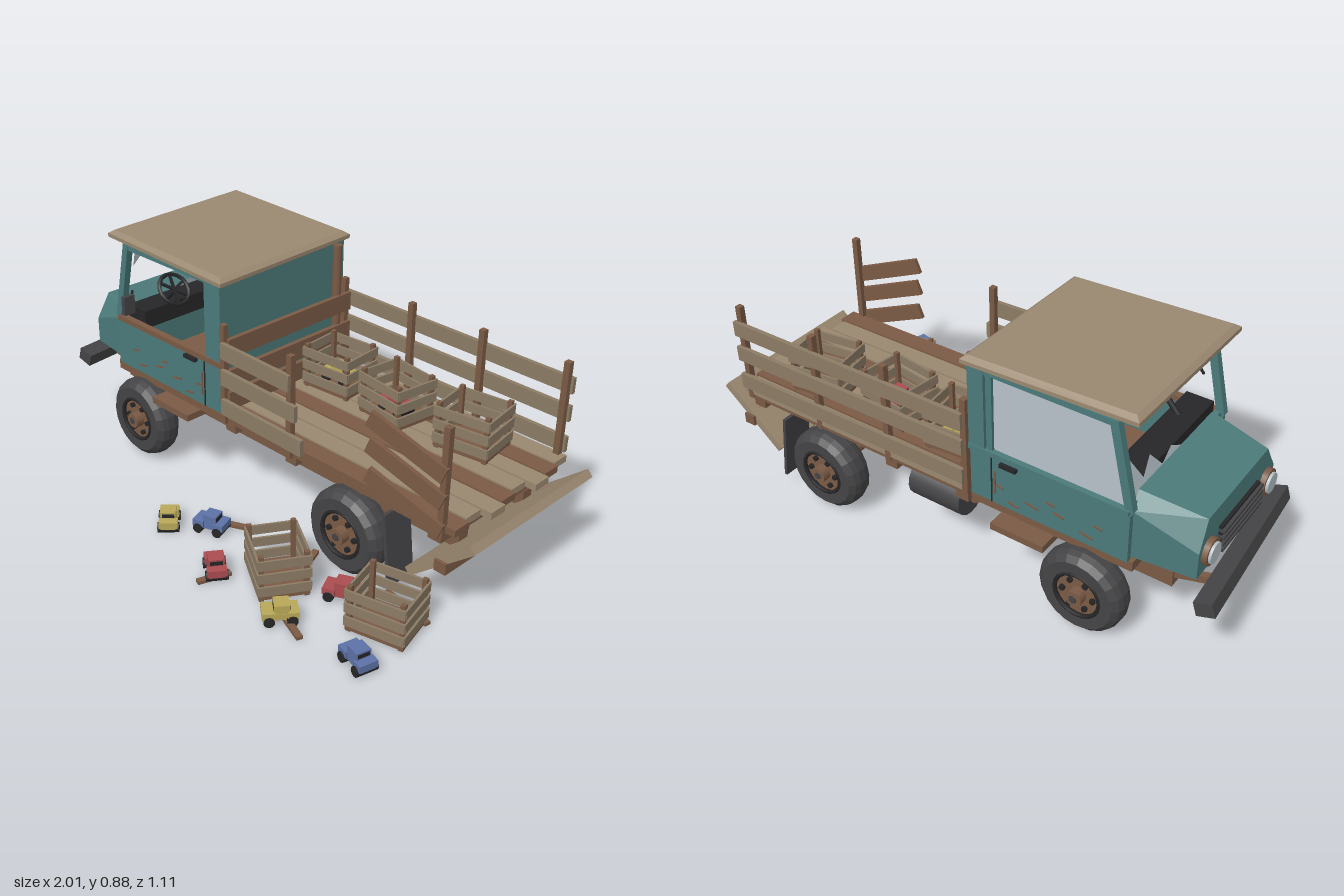
import * as THREE from 'three';
import { ConvexGeometry } from 'three/addons/geometries/ConvexGeometry.js';

const mat = (name, color, side = THREE.FrontSide) => {
  const m = new THREE.MeshStandardMaterial({ color, side });
  m.name = name;
  return m;
};
const V = (x, y, z) => new THREE.Vector3(x, y, z);
const MID = -0.18; // centre line of the truck in z

export function createModel() {
  const teal = mat('tealPaint', 0x4c7a7a), tan = mat('tanWood', 0x9a8870), slat = mat('weatheredWood', 0x8b7b65);
  const rust = mat('rustBrown', 0x7a5a45), dark = mat('darkRubber', 0x444446, THREE.DoubleSide);
  const black = mat('black', 0x262628), glass = mat('glass', 0xb6c2c8, THREE.DoubleSide);
  const yellow = mat('toyYellow', 0xb8a858), blue = mat('toyBlue', 0x5c72a6), red = mat('toyRed', 0xaa4c50);

  const root = new THREE.Group();
  root.name = 'truck';
  const group = (name, x = 0, y = 0, z = 0, ry = 0, parent = root) => {
    const g = new THREE.Group();
    g.name = name;
    g.position.set(x, y, z);
    g.rotation.y = ry;
    parent.add(g);
    return g;
  };
  const add = (name, geo, m, p, pos = [0, 0, 0], rot = [0, 0, 0]) => {
    const mesh = new THREE.Mesh(geo, m);
    mesh.name = name;
    mesh.position.set(...pos);
    mesh.rotation.set(...rot);
    p.add(mesh);
    return mesh;
  };
  const box = (name, m, p, size, pos, rot) => add(name, new THREE.BoxGeometry(...size), m, p, pos, rot);
  // box given by its minimum and maximum corners
  const span = (name, m, p, x0, x1, y0, y1, z0, z1) =>
    box(name, m, p, [x1 - x0, y1 - y0, z1 - z0], [(x0 + x1) / 2, (y0 + y1) / 2, (z0 + z1) / 2]);
  // round bar between two points
  const rod = (name, m, p, a, b, r, n = 10) => {
    const mesh = add(name, new THREE.CylinderGeometry(r, r, a.distanceTo(b), n), m, p, a.clone().add(b).multiplyScalar(0.5).toArray());
    mesh.quaternion.setFromUnitVectors(V(0, 1, 0), b.clone().sub(a).normalize());
    return mesh;
  };

  // Chassis: rails, cross members, axles, tank, steps
  const chassis = group('chassis');
  for (const s of [-1, 1]) {
    box('rail', rust, chassis, [1.66, 0.06, 0.045], [0.025, 0.23, MID + s * 0.17]);
    box('step', rust, chassis, [0.2, 0.025, 0.1], [-0.34, 0.29, MID + s * 0.315]);
    box('mudFlap', dark, chassis, [0.012, 0.26, 0.12], [0.69, 0.18, MID + s * 0.285], [0, 0, 0.12]);
    box('tailLight', red, chassis, [0.03, 0.012, 0.058], [0.89, 0.238, MID + s * 0.25]);
  }
  for (const x of [-0.75, -0.25, 0.1, 0.3, 0.75]) box('crossMember', dark, chassis, [0.045, 0.045, 0.34], [x, 0.23, MID]);
  rod('fuelTank', dark, chassis, V(-0.07, 0.245, -0.42), V(0.14, 0.245, -0.42), 0.07, 16);
  box('rearBeam', rust, chassis, [0.045, 0.04, 0.645], [0.885, 0.212, MID]);
  box('bumper', dark, chassis, [0.062, 0.05, 0.64], [-0.946, 0.288, -0.175], [0.02, 0.075, -0.3]);
  for (const s of [-1, 1]) box('bumperBracket', rust, chassis, [0.13, 0.025, 0.025], [-0.86, 0.26, MID + s * 0.17], [0, 0, -0.3]);

  // Wheels with hubs and bolts
  const tyreGeo = new THREE.LatheGeometry(
    [[0.08, -0.05], [0.128, -0.052], [0.147, -0.035], [0.154, -0.015], [0.154, 0.015], [0.147, 0.035], [0.128, 0.052], [0.08, 0.05]]
      .map(p => new THREE.Vector2(...p)), 20).toNonIndexed();
  tyreGeo.computeVertexNormals();
  tyreGeo.rotateX(Math.PI / 2);
  for (const x of [-0.56, 0.505]) {
    rod('axle', rust, chassis, V(x, 0.16, -0.46), V(x, 0.16, 0.1), 0.027);
    add('differential', new THREE.SphereGeometry(0.055, 10, 8), rust, chassis, [x, 0.16, MID]);
    for (const s of [-1, 1]) {
      const w = group('wheel', x, 0.156, MID + s * 0.305, s < 0 ? Math.PI : 0);
      add('tyre', tyreGeo, dark, w);
      rod('rim', rust, w, V(0, 0, -0.035), V(0, 0, 0.038), 0.084, 20);
      add('rimRing', new THREE.TorusGeometry(0.082, 0.008, 6, 20), black, w, [0, 0, 0.047]);
      rod('hubCap', rust, w, V(0, 0, 0.03), V(0, 0, 0.07), 0.03, 10);
      rod('hubNut', dark, w, V(0, 0, 0.06), V(0, 0, 0.074), 0.014, 6);
      for (let i = 0; i < 6; i++) {
        const a = (i * Math.PI) / 3, c = Math.cos(a) * 0.056, d = Math.sin(a) * 0.056;
        rod('bolt', black, w, V(c, d, 0.03), V(c, d, 0.05), 0.01, 6);
      }
    }
  }

  // Cab shell
  const cab = group('cab');
  span('cabFloor', rust, cab, -0.72, -0.12, 0.3, 0.337, -0.48, 0.12);
  span('backWall', teal, cab, -0.14, -0.12, 0.335, 0.83, -0.48, 0.12);
  span('firewall', teal, cab, -0.7, -0.68, 0.335, 0.54, -0.47, 0.11);
  for (const s of [-1, 1]) {
    const at = (d) => MID + s * d;
    box('door', teal, cab, [0.5, 0.18, 0.02], [-0.455, 0.425, at(0.297)]);
    box('rearQuarter', teal, cab, [0.08, 0.18, 0.022], [-0.165, 0.425, at(0.295)]);
    box('doorSeam', black, cab, [0.005, 0.18, 0.003], [-0.207, 0.425, at(0.307)]);
    box('windowSill', s > 0 ? rust : teal, cab, [0.58, 0.02, 0.026], [-0.41, 0.524, at(0.297)]);
    box('rearPillar', teal, cab, [0.06, 0.31, 0.024], [-0.15, 0.68, at(0.294)]);
    box('windowFrame', teal, cab, [0.022, 0.3, 0.018], [-0.196, 0.68, at(0.292)]);
    box('frontPillar', teal, cab, [0.028, 0.31, 0.026], [-0.667, 0.678, at(0.292)], [0, 0, -0.215]);
    box('topFrame', teal, cab, [0.5, 0.022, 0.022], [-0.39, 0.822, at(0.292)]);
    box('doorHandle', black, cab, [0.062, 0.013, 0.016], [-0.275, 0.505, at(0.313)]);
    // rust streaks on the door
    [[-0.56, 0.37, 0.05], [-0.46, 0.4, 0.04], [-0.43, 0.43, 0.03], [-0.36, 0.39, 0.05], [-0.29, 0.36, 0.04], [-0.6, 0.42, 0.03], [-0.24, 0.41, 0.03]]
      .forEach(([x, y, w]) => box('rustStreak', rust, cab, [w, 0.007, 0.004], [x, y, at(0.308)], [0, 0, 0.2]));
    box('rustSeam', rust, cab, [0.006, 0.09, 0.004], [-0.22, 0.42, at(0.308)]);
  }
  box('headerBar', teal, cab, [0.025, 0.025, 0.58], [-0.635, 0.822, MID]);
  const pane = new THREE.Shape([[-0.685, 0.53], [-0.2, 0.53], [-0.2, 0.82], [-0.62, 0.82]].map(p => new THREE.Vector2(...p)));
  add('sideWindow', new THREE.ShapeGeometry(pane), glass, cab, [0, 0, -0.47]);

  // Remains of the windscreen: jagged shards along the lower edge and corners
  const shards = [[[-0.26, 0], [-0.26, 0.15], [-0.2, 0.05], [-0.15, 0.1], [-0.09, 0.03], [-0.03, 0.06], [0.04, 0.02], [0.04, 0]],
    [[0.26, 0.29], [0.26, 0.2], [0.22, 0.25], [0.17, 0.29]]];
  for (const pts of shards) {
    const s = new THREE.Shape(pts.map(p => new THREE.Vector2(...p)));
    const g = new THREE.ShapeGeometry(s).rotateY(-Math.PI / 2);
    add('windscreenShard', g, glass, cab, [-0.695, 0.535, MID], [0, 0, -0.215]);
  }

  // Roof slab with chamfered rim, slightly askew
  const roofShape = new THREE.Shape([[-0.29, -0.3], [0.29, -0.3], [0.29, 0.3], [-0.29, 0.3]].map(p => new THREE.Vector2(...p)));
  const roofGeo = new THREE.ExtrudeGeometry(roofShape, { depth: 0.014, bevelThickness: 0.013, bevelSize: 0.018, bevelSegments: 1 });
  roofGeo.translate(0, 0, -0.007).rotateX(-Math.PI / 2);
  add('roof', roofGeo, tan, cab, [-0.415, 0.846, -0.185], [0.025, 0, -0.032]);

  // Hood, grille and headlights
  const hoodPts = [];
  for (const s of [-1, 1]) {
    for (const [x, y, w] of [[-0.695, 0.337, 0.28], [-0.695, 0.515, 0.28], [-0.69, 0.565, 0.235],
      [-0.91, 0.337, 0.255], [-0.91, 0.435, 0.255], [-0.905, 0.53, 0.2]]) hoodPts.push(V(x, y, MID + s * w));
  }
  add('hood', new ConvexGeometry(hoodPts), teal, cab);
  box('grille', black, cab, [0.014, 0.1, 0.26], [-0.914, 0.405, MID]);
  for (let i = 0; i < 4; i++) box('grilleBar', dark, cab, [0.02, 0.009, 0.27], [-0.922, 0.37 + i * 0.024, MID]);
  for (const s of [-1, 1]) {
    rod('headlightRim', rust, cab, V(-0.9, 0.41, MID + s * 0.195), V(-0.928, 0.41, MID + s * 0.195), 0.046, 14);
    rod('headlightLens', glass, cab, V(-0.92, 0.41, MID + s * 0.195), V(-0.937, 0.41, MID + s * 0.195), 0.036, 14);
  }

  // Cab interior and mirror
  box('dashboard', black, cab, [0.1, 0.07, 0.55], [-0.625, 0.54, MID]);
  box('seatBase', rust, cab, [0.2, 0.07, 0.52], [-0.3, 0.465, MID]);
  box('seatBack', rust, cab, [0.04, 0.19, 0.5], [-0.24, 0.61, MID], [0, 0, -0.1]);
  rod('steeringColumn', black, cab, V(-0.63, 0.55, -0.03), V(-0.555, 0.635, -0.03), 0.01, 8);
  const wheel = group('steeringWheel', -0.555, 0.635, -0.03, 0, cab);
  wheel.quaternion.setFromUnitVectors(V(0, 0, 1), V(0.75, 0.66, 0).normalize());
  add('wheelRim', new THREE.TorusGeometry(0.062, 0.008, 6, 16), black, wheel);
  for (const a of [0, 1.05, 2.1]) box('wheelSpoke', black, wheel, [0.12, 0.01, 0.008], [0, 0, 0], [0, 0, a]);
  rod('mirrorArm', black, cab, V(-0.62, 0.65, 0.115), V(-0.535, 0.66, 0.19), 0.005, 6);
  box('mirror', dark, cab, [0.018, 0.07, 0.046], [-0.53, 0.65, 0.203]);
  rod('exhaustStack', rust, cab, V(-0.1, 0.25, -0.432), V(-0.1, 0.83, -0.432), 0.017, 10);

  // Cargo bed: plank floor, headboard, stake sides
  const bed = group('cargoBed');
  [tan, rust, tan, tan, rust, tan, tan, rust].forEach((m, i) =>
    span('floorPlank', m, bed, -0.11, 0.9 + (i % 3) * 0.018, 0.327, 0.352, -0.488 + i * 0.0775, -0.418 + i * 0.0775));
  for (const x of [-0.08, 0.22, 0.52, 0.84]) box('floorBeam', rust, bed, [0.05, 0.05, 0.6], [x, 0.302, MID]);
  for (const s of [-1, 1]) span('sideBeam', rust, bed, -0.11, 0.88, 0.312, 0.335, MID + s * 0.29 - 0.015, MID + s * 0.29 + 0.015);
  for (const y of [0.4, 0.485, 0.602]) box('headboardPlank', rust, bed, [0.018, 0.07, 0.61], [-0.085, y, MID]);
  const post = (x, z) => box('stakePost', rust, bed, [0.022, 0.38, 0.022], [x, 0.5, z]);
  [-0.1, 0.225, 0.535, 0.87].forEach(x => post(x, -0.478));
  [-0.1, 0.225, 0.87].forEach(x => post(x, 0.127));
  [0.607, 0.505, 0.39].forEach((y, i) => {
    box('farSideBoard', slat, bed, [0.99, 0.057, 0.016], [0.395, y, -0.494], [0, 0, -0.008]);
    box('nearSideBoard', slat, bed, [0.33 + i * 0.03, 0.06, 0.016], [0.07 + i * 0.015, y - 0.01, 0.143], [0, 0, -0.02]);
    box('brokenBoard', rust, bed, [0.29, 0.058, 0.016], [0.742, y - 0.025 + i * 0.01, 0.156], [0, 0.13, -0.36]);
  });
  // hanging tailgate
  box('tailgate', tan, bed, [0.31, 0.03, 0.625], [0.873, 0.222, MID], [0, 0, 0.7]);

  // Slatted crates
  const crate = (x, y, z, ry) => {
    const c = group('crate', x, y, z, ry);
    const w = 0.2, d = 0.17, h = 0.17;
    box('crateFloor', rust, c, [w, 0.012, d], [0, 0.012, 0]);
    for (const a of [-1, 1]) {
      for (const b of [-1, 1]) box('cratePost', rust, c, [0.016, h, 0.016], [a * (w / 2 - 0.01), h / 2, b * (d / 2 - 0.01)]);
      for (const sy of [0.04, 0.09, 0.14]) {
        box('crateSlat', slat, c, [w + 0.006, 0.034, 0.008], [0, sy, a * (d / 2 + 0.001)]);
        box('crateSlat', slat, c, [0.008, 0.034, d], [a * (w / 2 + 0.001), sy, 0]);
      }
    }
  };
  [[0.04, 0.352, -0.31, 0.08], [0.33, 0.352, -0.29, -0.14], [0.645, 0.352, -0.31, 0.14],
    [0.39, 0, 0.345, -0.54], [0.79, 0, 0.265, 0.25]].forEach(c => crate(...c));

  // Toy cars
  const toy = (m, x, y, z, ry) => {
    const t = group('toyCar', x, y, z, ry);
    box('toyBody', m, t, [0.11, 0.022, 0.052], [0, 0.03, 0]);
    box('toyNose', m, t, [0.042, 0.024, 0.066], [-0.038, 0.036, 0]);
    box('toyTail', m, t, [0.036, 0.024, 0.066], [0.04, 0.036, 0]);
    box('toyCabin', m, t, [0.05, 0.03, 0.052], [0.004, 0.057, 0]);
    box('toyWindow', black, t, [0.052, 0.014, 0.042], [0.004, 0.059, 0]);
    for (const a of [-0.037, 0.037]) rod('toyWheels', black, t, V(a, 0.018, -0.038), V(a, 0.018, 0.038), 0.018, 10);
  };
  [[yellow, -0.1, 0, 0.4, -0.75], [blue, 0.025, 0, 0.31, 0.35], [red, 0.22, 0, 0.465, -0.6], [yellow, 0.54, 0, 0.48, 0.9],
    [red, 0.6, 0, 0.26, 0.45], [blue, 0.85, 0, 0.46, -0.25], [yellow, 0.04, 0.372, -0.31, 0.12], [red, 0.335, 0.372, -0.285, -0.1]]
    .forEach(t => toy(...t));

  // Loose slats on the ground
  [[0.075, 0.235, 0.15, 0.45], [0.395, 0.205, 0.13, -1.2], [0.24, 0.49, 0.12, 1.25], [0.6, 0.485, 0.11, -0.35], [0.78, 0.155, 0.2, -0.15]]
    .forEach(([x, z, l, ry]) => box('looseSlat', rust, root, [l, 0.012, 0.022], [x, 0.007, z], [0, ry, 0]));

  return root;
}
